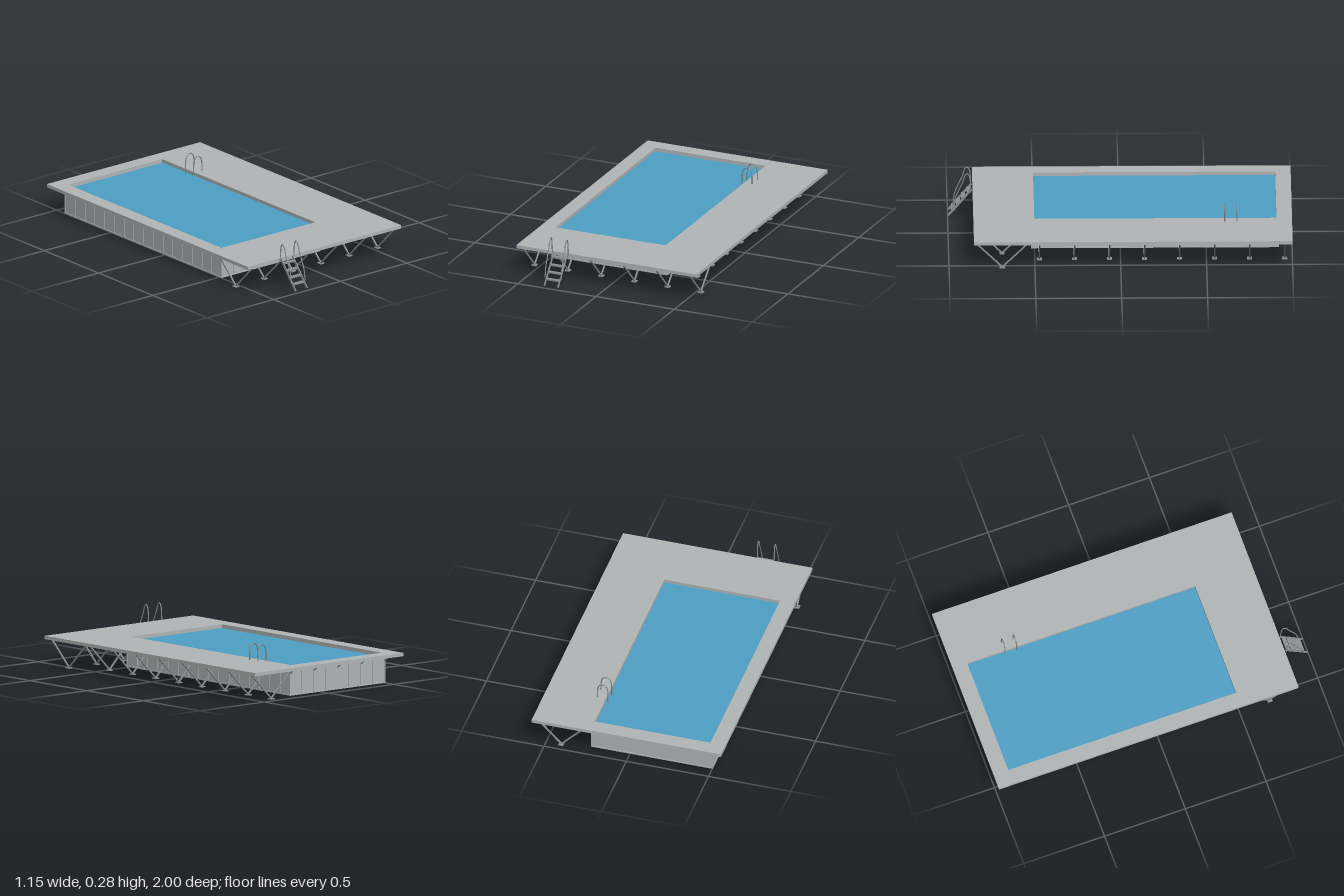
import * as THREE from 'three';

const mat = (name, color) => {
  const m = new THREE.MeshStandardMaterial({ color });
  m.name = name;
  return m;
};

export function createModel() {
  const model = new THREE.Group();
  const deckGrey = mat('deck grey', 0xb2b6b6);
  const wallGrey = mat('wall grey', 0xb0b5b5);
  const steel = mat('steel', 0x8c9090);
  const waterBlue = mat('water blue', 0x4da0c6);
  const floorBlue = mat('pool floor blue', 0x2c6ca0);

  const group = (name, parent = model) => {
    const g = new THREE.Group();
    g.name = name;
    parent.add(g);
    return g;
  };
  const add = (parent, name, geo, material) => {
    const m = new THREE.Mesh(geo, material);
    m.name = name;
    parent.add(m);
    return m;
  };
  // Box given by its limits on each axis
  const block = (parent, name, material, x0, x1, y0, y1, z0, z1) => {
    const m = add(parent, name, new THREE.BoxGeometry(x1 - x0, y1 - y0, z1 - z0), material);
    m.position.set((x0 + x1) / 2, (y0 + y1) / 2, (z0 + z1) / 2);
    return m;
  };
  // Square bar between two points
  const strut = (parent, name, a, b, w = 0.01, h = w) => {
    const p = new THREE.Vector3(...a), q = new THREE.Vector3(...b);
    const m = add(parent, name, new THREE.BoxGeometry(w, h, p.distanceTo(q)), steel);
    m.position.copy(p).add(q).multiplyScalar(0.5);
    m.lookAt(q);
    return m;
  };
  const rail = (parent, name, points) => {
    const curve = new THREE.CatmullRomCurve3(points.map(p => new THREE.Vector3(...p)));
    return add(parent, name, new THREE.TubeGeometry(curve, 40, 0.0035, 8), steel);
  };
  // Horizontal frame with a rectangular opening, hanging down from its top
  const frame = (name, top, depth, outer, inner) => {
    const trace = (path, [x0, x1, z0, z1]) =>
      path.moveTo(x0, z0).lineTo(x1, z0).lineTo(x1, z1).lineTo(x0, z1).closePath();
    const shape = new THREE.Shape();
    trace(shape, outer);
    const hole = new THREE.Path();
    trace(hole, inner);
    shape.holes.push(hole);
    const geo = new THREE.ExtrudeGeometry(shape, { depth, bevelEnabled: false });
    geo.rotateX(Math.PI / 2);
    add(deck, name, geo, deckGrey).position.y = top;
  };

  // Deck: top sheet, outer rim and rim around the opening
  const deck = group('deck');
  frame('deckTop', 0.178, 0.008, [-0.575, 0.575, -1, 0.855], [-0.485, 0.218, -0.91, 0.5]);
  frame('deckRim', 0.17, 0.012, [-0.575, 0.575, -1, 0.855], [-0.567, 0.567, -0.992, 0.847]);
  frame('poolRim', 0.17, 0.012, [-0.502, 0.237, -0.925, 0.52], [-0.485, 0.218, -0.91, 0.5]);

  // Joists under the wide side and front of the deck
  const joists = group('joists');
  for (let i = 0; i < 26; i++) {
    const z = -0.965 + i * 0.058;
    block(joists, 'sideJoist', steel, 0.237, 0.567, 0.159, 0.17, z - 0.008, z + 0.008);
  }
  for (let i = 0; i < 20; i++) {
    const x = -0.54 + i * 0.0568;
    block(joists, 'frontJoist', steel, x - 0.008, x + 0.008, 0.159, 0.17, 0.52, 0.847);
  }

  // Pool shell
  const [X0, X1, Z0, Z1] = [-0.502, 0.237, -0.925, 0.52];
  const pool = group('pool');
  const t = 0.004;
  block(pool, 'leftOuterWall', wallGrey, X0 + t, X0 + 3 * t, 0, 0.16, Z0 + t, Z1 - t);
  block(pool, 'rightOuterWall', wallGrey, X1 - 3 * t, X1 - t, 0, 0.16, Z0 + t, Z1 - t);
  block(pool, 'backWall', wallGrey, X0 + t, X1 - t, 0, 0.16, Z0 + t, Z0 + 3 * t);
  block(pool, 'frontWall', wallGrey, X0 + t, X1 - t, 0, 0.16, Z1 - 3 * t, Z1 - t);
  block(pool, 'poolFloor', floorBlue, X0 + t, X1 - t, 0, 0.006, Z0 + t, Z1 - t);
  block(pool, 'water', waterBlue, X0 + 2 * t, X1 - 2 * t, 0.146, 0.154, Z0 + 2 * t, Z1 - 2 * t);

  // Wall ribs, base rails and the brackets carrying the narrow deck edges
  const ribs = group('wallRibs');
  const r = 0.0035;
  for (let i = 0; i <= 8; i++) {
    const x = X0 + r + (X1 - X0 - 2 * r) * i / 8;
    for (const [a, b] of [[Z0, Z0 + t], [Z1 - t, Z1]])
      block(ribs, 'rib', wallGrey, x - r, x + r, 0, 0.16, a, b);
    if (i % 2 === 0) strut(ribs, 'backBracket', [x, 0.132, Z0], [x, 0.16, Z0 - 0.035], 0.006);
  }
  for (let i = 0; i <= 16; i++) {
    const z = Z0 + r + (Z1 - Z0 - 2 * r) * i / 16;
    for (const [a, b] of [[X0, X0 + t], [X1 - t, X1]])
      block(ribs, 'rib', wallGrey, a, b, 0, 0.16, z - r, z + r);
    if (i % 2 === 0) strut(ribs, 'sideBracket', [X0, 0.132, z], [X0 - 0.035, 0.16, z], 0.006);
  }
  for (const [a, b] of [[Z0, Z0 + t], [Z1 - t, Z1]])
    block(ribs, 'baseRail', wallGrey, X0, X1, 0, 0.007, a, b);
  for (const [a, b] of [[X0, X0 + t], [X1 - t, X1]])
    block(ribs, 'baseRail', wallGrey, a, b, 0, 0.007, Z0, Z1);

  // V-shaped legs: a row along the front and a row along the wide side
  const leg = (x, z, alongX) => {
    const g = group('vLeg');
    for (const s of [-1, 1]) {
      const top = alongX ? [x + s * 0.152, 0.162, z] : [x, 0.162, z + s * 0.16];
      strut(g, 'legStrut', [x, 0.006, z], top, 0.008);
    }
    block(g, 'foot', steel, x - 0.015, x + 0.015, 0.001, 0.007, z - 0.015, z + 0.015);
  };
  for (let i = 0; i < 6; i++) leg(-0.532 + i * 0.2125, 0.69, false);
  for (let i = 0; i < 8; i++) leg(0.408, 0.473 - i * 0.204, true);

  // Ladder up to the deck
  const ladder = group('ladder');
  for (const x of [-0.332, -0.246]) {
    strut(ladder, 'stringer', [x, 0.012, 0.995], [x, 0.172, 0.862], 0.005, 0.014);
    const h = x < -0.29 ? x - 0.008 : x + 0.008;
    rail(ladder, 'handrail', [
      [h, 0.055, 0.968], [h, 0.115, 0.957], [h, 0.17, 0.935], [h, 0.22, 0.913],
      [h, 0.26, 0.9], [h, 0.274, 0.885], [h, 0.255, 0.872], [h, 0.2, 0.866], [h, 0.165, 0.864]]);
  }
  for (const y of [0.046, 0.08, 0.115, 0.152]) {
    const z = 0.995 - (y - 0.012) * 0.83;
    block(ladder, 'tread', steel, -0.332, -0.246, y - 0.004, y + 0.004, z - 0.012, z + 0.012);
  }

  // Grab rails at the water's edge
  const grab = group('grabRails');
  for (const z of [-0.68, -0.608])
    rail(grab, 'grabRail', [
      [0.206, 0.15, z], [0.206, 0.19, z], [0.208, 0.235, z], [0.22, 0.265, z], [0.239, 0.273, z],
      [0.258, 0.265, z], [0.269, 0.235, z], [0.27, 0.172, z]]);

  return model;
}
